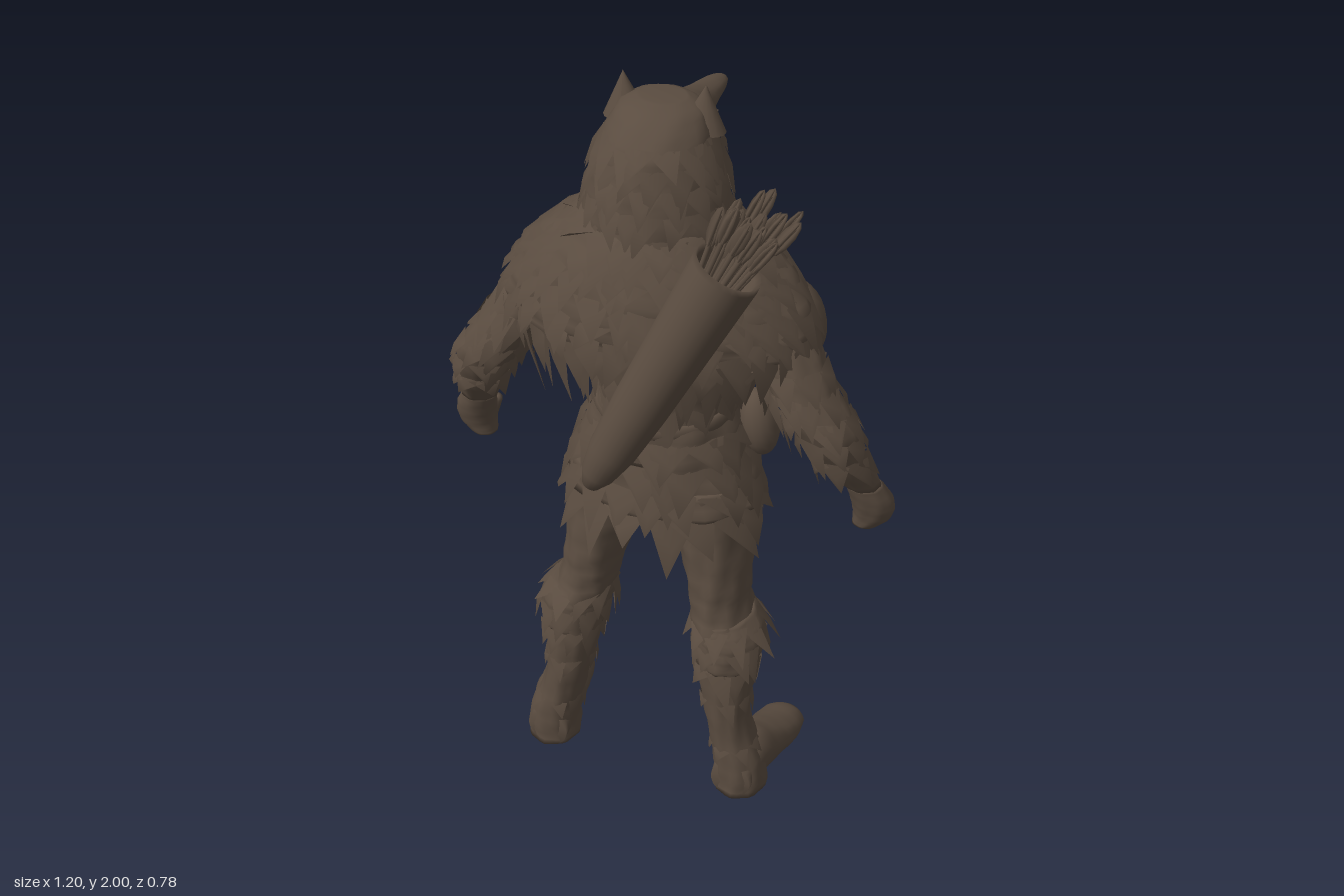
import * as THREE from 'three';
import { mergeVertices, mergeGeometries } from 'three/addons/utils/BufferGeometryUtils.js';

const hide = new THREE.MeshStandardMaterial({ color: 0x5a4c40, side: THREE.DoubleSide });
hide.name = 'brown hide';

let seed = 7;
const rand = () => (seed = (seed * 16807) % 2147483647) / 2147483647;

// Cross-section at t (0 top, 1 bottom) of a list of [x, y, z, rx, rz]
function section(list, t) {
  const f = Math.min(Math.max(t, 0), 1) * (list.length - 1);
  const i = Math.min(Math.floor(f), list.length - 2), u = f - i;
  const at = (k) => list[Math.min(Math.max(k, 0), list.length - 1)];
  return list[i].map((_, c) => {
    const [a, b, d, e] = [at(i - 1)[c], at(i)[c], at(i + 1)[c], at(i + 2)[c]];
    return b + 0.5 * u * (d - a + u * (2 * a - 5 * b + 4 * d - e + u * (3 * (b - d) + e - a)));
  });
}

const surface = (list, t, a, k = 1) => {
  const [x, y, z, rx, rz] = section(list, t);
  return new THREE.Vector3(x + Math.sin(a) * rx * k, y, z + Math.cos(a) * rz * k);
};

// Closed, slightly lumpy skin through stacked ellipses
function loft(list, bump = 0.03, segments = 28) {
  const rows = list.length * 4;
  const g = new THREE.CylinderGeometry(1, 1, 1, segments, rows, true);
  const p = g.attributes.position;
  for (let i = 0; i < p.count; i++) {
    const row = Math.floor(i / (segments + 1));
    const a = ((i % (segments + 1)) % segments) / segments * Math.PI * 2;
    const t = (row - 1) / (rows - 2);
    const wave = Math.sin(a * 3 + row * 1.3) * Math.sin(a * 5 - row * 0.7 + 1);
    const v = surface(list, t, a, row === 0 || row === rows ? 0 : 1 + bump * wave);
    p.setXYZ(i, v.x, v.y, v.z);
  }
  g.deleteAttribute('uv');
  g.deleteAttribute('normal');
  const m = mergeVertices(g, 1e-5);
  m.computeVertexNormals();
  return m;
}

// Loft whose stack runs from front (-z) to back: entries are [x, -z, y, rx, ry]
const loftForward = (list, bump) => loft(list, bump).rotateX(-Math.PI / 2);

// Rows of pointed, ridged locks that lie along a lofted surface
function fur(list, { from, to, rows, count, length, width, lift = 0.02, keep = () => true }) {
  const pos = [], index = [];
  for (let r = 0; r < rows; r++) {
    const t = from + (to - from) * r / (rows - 1);
    for (let k = 0; k < count; k++) {
      const a = (k + (r % 2) / 2 + rand() * 0.5) / count * Math.PI * 2;
      const scale = 0.65 + rand() * 0.6;
      if (!keep(a)) continue;
      const base = surface(list, t, a, 0.98);
      const out = new THREE.Vector3(Math.sin(a), 0, Math.cos(a));
      const side = new THREE.Vector3(Math.cos(a), 0, -Math.sin(a));
      const s = Math.min(t, 0.93);
      const down = surface(list, s + 0.05, a).sub(surface(list, s, a)).normalize();
      down.y -= 0.4;
      down.normalize();
      const mid = base.clone().addScaledVector(down, length * scale * 0.45).addScaledVector(out, lift);
      const tip = base.clone().addScaledVector(down, length * scale).addScaledVector(out, lift * 0.9)
        .addScaledVector(side, (rand() - 0.5) * width);
      const n = pos.length / 3;
      for (const v of [base.clone().addScaledVector(side, -width / 2), base.clone().addScaledVector(side, width / 2), mid, tip])
        pos.push(v.x, v.y, v.z);
      index.push(n, n + 2, n + 1, n, n + 3, n + 2, n + 2, n + 3, n + 1);
    }
  }
  const g = new THREE.BufferGeometry();
  g.setAttribute('position', new THREE.Float32BufferAttribute(pos, 3));
  g.setIndex(index);
  g.computeVertexNormals();
  return g;
}

function add(parent, name, geometry) {
  const m = new THREE.Mesh(geometry, hide);
  m.name = name;
  parent.add(m);
}

const TORSO = [[0, 1.52, 0, .25, .17], [0, 1.38, 0, .21, .18], [0, 1.25, -.02, .18, .165], [0, 1.14, -.03, .175, .165], [0, 1.02, -.02, .2, .17]];
const SKIRT = [[0, 1.18, -.03, .165, .16], [0, 1.08, -.03, .195, .178], [0, .97, -.025, .23, .182], [0, .87, -.015, .255, .182]];
const MANTLE = [[0, 1.74, .02, .13, .12], [0, 1.67, .02, .205, .16], [0, 1.6, .02, .295, .185], [0, 1.51, .025, .365, .2], [0, 1.43, .03, .39, .2], [0, 1.38, .03, .375, .19]];
const HOOD = [[0, 1.962, -.01, .055, .045], [0, 1.94, 0, .1, .09], [0, 1.88, .015, .13, .135], [0, 1.82, .018, .15, .145], [0, 1.74, .028, .165, .148], [0, 1.66, .03, .18, .145], [0, 1.6, .03, .17, .12]];
const FACE = [[0, 1.81, -.1, .08, .06], [0, 1.74, -.11, .088, .08], [0, 1.68, -.125, .08, .09], [0, 1.63, -.125, .06, .07]];
const SNOUT = [[0, .391, 1.831, .006, .005], [0, .375, 1.833, .02, .012], [0, .33, 1.838, .032, .02], [0, .25, 1.845, .044, .03], [0, .18, 1.85, .06, .047], [0, .1, 1.858, .105, .066], [0, 0, 1.86, .12, .075]];
const LEG = [[.13, .95, -.01, .1, .13], [.145, .8, -.005, .097, .13], [.168, .67, .02, .082, .118], [.182, .58, .04, .076, .108], [.205, .5, .065, .08, .105], [.218, .36, .09, .07, .083], [.238, .22, .105, .056, .072], [.27, .1, .11, .068, .075], [.275, .012, .11, .072, .077]];
const CUFF = [[.195, .555, .05, .075, .1], [.21, .52, .06, .092, .108], [.218, .47, .068, .092, .105], [.22, .42, .08, .08, .095]];
const FOOT = [[.32, .15, .05, .035, .028], [.316, .125, .052, .058, .044], [.308, .06, .06, .068, .056], [.293, -.01, .075, .068, .07], [.278, -.09, .09, .066, .086], [.268, -.175, .06, .055, .055]];
const ARM = [[.27, 1.47, .02, .08, .09], [.33, 1.39, .045, .085, .085], [.385, 1.3, .06, .082, .08], [.445, 1.21, .065, .078, .072], [.482, 1.1, .03, .06, .058], [.52, 1, -.025, .048, .045]];
const FIST = [[.522, 1, -.025, .045, .042], [.542, .945, -.045, .054, .05], [.545, .895, -.055, .05, .046], [.528, .86, -.055, .034, .036]];

// Left limbs, mirrored for the right
function makeLimbs(side) {
  const limbs = new THREE.Group();
  limbs.name = side > 0 ? 'leftLimbs' : 'rightLimbs';
  const mirror = (g) => {
    if (side > 0) return g;
    g.scale(-1, 1, 1);
    const ix = g.index.array;
    for (let i = 0; i < ix.length; i += 3) [ix[i], ix[i + 1]] = [ix[i + 1], ix[i]];
    g.computeVertexNormals();
    return g;
  };
  const part = (name, g) => add(limbs, name, mirror(g));
  part('leg', loft(LEG, 0.06));
  part('boot', loftForward(FOOT, 0.02));
  part('kneeCuff', loft(CUFF, 0.04));
  part('kneeFur', fur(CUFF, { from: .1, to: .95, rows: 3, count: 10, length: .09, width: .07, lift: .016 }));
  part('bootFur', fur(LEG, { from: .66, to: .8, rows: 2, count: 8, length: .06, width: .05, lift: .01 }));
  part('arm', loft(ARM, 0.06));
  part('sleeveFur', fur(ARM, { from: .25, to: .75, rows: 5, count: 8, length: .09, width: .08, lift: .02 }));
  part('fist', loft(FIST, 0.03));
  for (let i = 0; i < 4; i++)
    part('finger', new THREE.CapsuleGeometry(.014, .035, 4, 8).rotateZ(1.3).translate(.535, .88 + i * .021, -.088 + Math.abs(i - 2) * .006));
  part('thumb', new THREE.CapsuleGeometry(.015, .045, 4, 8).rotateZ(.3).translate(.505, .93, -.075));
  part('shoulder', new THREE.SphereGeometry(1, 20, 14).scale(.075, .11, .085).rotateZ(.3).translate(.315, 1.4, -.065));
  part('ear', new THREE.ConeGeometry(.055, .11, 14, 4).scale(1, 1, .75).rotateZ(-.06).translate(.098, 1.945, -.015));
  for (let i = 0; i < 3; i++)
    part('fang', new THREE.ConeGeometry(.011, .045, 6).rotateX(Math.PI).translate(.04 + i * .008, 1.8, -.23 + i * .03));
  return limbs;
}

// Quiver with a bundle of arrows, slung across the back
function makeQuiver() {
  const quiver = new THREE.Group();
  quiver.name = 'quiver';
  const bottom = new THREE.Vector3(-.045, 1.09, .35), top = new THREE.Vector3(.272, 1.735, .272);
  const profile = [[0, 0], [.022, .008], [.042, .05], [.058, .13], [.068, .28], [.076, .5], [.083, .7], [.08, .715], [.072, .7], [.066, .52], [0, .52]];
  add(quiver, 'quiverCase', new THREE.LatheGeometry(profile.map((p) => new THREE.Vector2(...p)), 24));
  const pieces = [];
  for (let i = 0; i < 20; i++) {
    const a = i * 2.4, r = .064 * Math.sqrt((i + .5) / 20), h = .09 + rand() * .08;
    const arrow = [new THREE.CylinderGeometry(.006, .006, .2 + h, 6).translate(0, (h - .2) / 2, 0)];
    for (let k = 0; k < 2; k++)
      arrow.push(new THREE.SphereGeometry(1, 6, 5).scale(.017, .055, .004).rotateY(k * Math.PI / 2 + a).translate(0, h - .035, 0));
    pieces.push(mergeGeometries(arrow).rotateX(Math.sin(a) * r * 3).rotateZ(-Math.cos(a) * r * 3)
      .translate(Math.cos(a) * r, .72, Math.sin(a) * r));
  }
  add(quiver, 'arrows', mergeGeometries(pieces));
  quiver.position.copy(bottom);
  quiver.quaternion.setFromUnitVectors(new THREE.Vector3(0, 1, 0), top.sub(bottom).normalize());
  return quiver;
}

export function createModel() {
  seed = 7;
  const model = new THREE.Group();
  model.name = 'furCladArcher';
  const back = (a) => Math.cos(a) > .45;

  // Body and clothing
  add(model, 'torso', loft(TORSO, 0.04));
  add(model, 'sideFur', fur(TORSO, { from: .3, to: .65, rows: 3, count: 16, length: .14, width: .09, keep: (a) => Math.cos(a) > -.3 }));
  add(model, 'skirt', loft(SKIRT, 0.05, 36));
  add(model, 'skirtFur', fur(SKIRT, { from: .3, to: .95, rows: 4, count: 17, length: .13, width: .12, lift: .028 }));
  add(model, 'belt', new THREE.TorusGeometry(1, .08, 10, 36).rotateX(Math.PI / 2).scale(.172, .3, .163).rotateX(.08).translate(0, 1.13, -.03));
  add(model, 'pouch', new THREE.SphereGeometry(1, 16, 12).scale(.05, .095, .055).rotateZ(.15).translate(.232, 1.07, -.08));

  // Shaggy mantle
  add(model, 'mantle', loft(MANTLE, 0.035, 40));
  add(model, 'mantleFur', fur(MANTLE, { from: .18, to: .95, rows: 7, count: 24, length: .11, width: .11, lift: .026 }));
  add(model, 'mantleTails', fur(MANTLE, { from: .9, to: .98, rows: 2, count: 26, length: .18, width: .09, lift: .015, keep: back }));
  add(model, 'collar', new THREE.TorusGeometry(1, .2, 12, 32).rotateX(Math.PI / 2).scale(.17, .2, .15).rotateX(-.25).translate(0, 1.61, -.03));

  // Animal-head hood over the wearer's face
  add(model, 'hood', loft(HOOD, 0.03));
  add(model, 'hoodFur', fur(HOOD, { from: .3, to: .9, rows: 6, count: 16, length: .1, width: .08, lift: .02, keep: (a) => Math.cos(a) > -.6 }));
  add(model, 'snout', loftForward(SNOUT, 0.015));
  add(model, 'face', loft(FACE, 0.02));
  add(model, 'nose', new THREE.ConeGeometry(.02, .06, 8).translate(0, 1.735, -.195));
  add(model, 'beard', fur(FACE, { from: .7, to: .95, rows: 2, count: 16, length: .06, width: .05, lift: .01, keep: (a) => Math.cos(a) < 0 }));

  model.add(makeLimbs(1), makeLimbs(-1), makeQuiver());
  return model;
}
